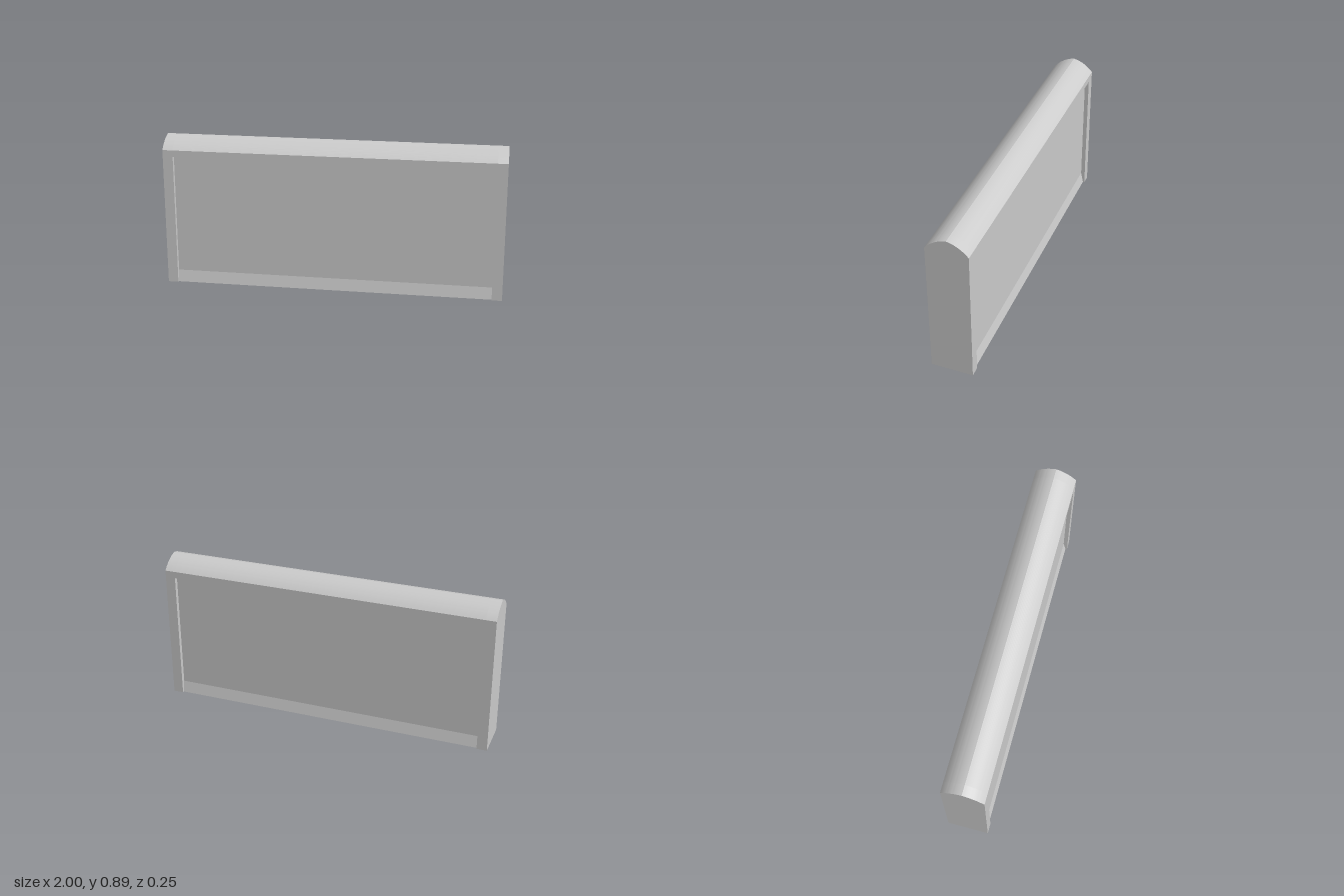
import * as THREE from 'three';
import { toCreasedNormals } from 'three/addons/utils/BufferGeometryUtils.js';

const LENGTH = 2, POST = 0.06, HALF = 0.1225;   // overall length, end post width, half thickness
const EAVES = 0.82, APEX = 0.893;               // bottom and ridge of the curved coping
const PANEL_TOP = 0.78, SLOPE_TOP = 0.07;       // recess top, top of the sloped foot
const RECESS = 0.025, FOOT_RECESS = 0.01;       // recess depth on the panel and at the ground

// Cross-section in z (shape x) and y; the side is a list of [z, y] from ground to eaves
function crossSection(side) {
  const s = new THREE.Shape();
  s.moveTo(...side[0]);
  side.slice(1).forEach(p => s.lineTo(...p));
  s.quadraticCurveTo(0.07, 0.881, 0, APEX);
  s.quadraticCurveTo(-0.07, 0.881, -HALF, EAVES);
  [...side].reverse().slice(1).forEach(([z, y]) => s.lineTo(-z, y));
  s.closePath();
  return s;
}

// Sweep a cross-section along x, centred on the given x
function sweep(name, side, length, x, material) {
  const raw = new THREE.ExtrudeGeometry(crossSection(side), {
    depth: length, bevelEnabled: false, curveSegments: 16,
  });
  raw.translate(0, 0, -length / 2);
  raw.rotateY(-Math.PI / 2);
  const mesh = new THREE.Mesh(toCreasedNormals(raw, 0.2), material);
  mesh.name = name;
  mesh.position.x = x;
  return mesh;
}

export function createModel() {
  const group = new THREE.Group();
  group.name = 'wallSegment';
  const material = new THREE.MeshStandardMaterial({ color: 0xcccccc });

  // Full-thickness end posts
  const postSide = [[HALF, 0], [HALF, EAVES]];
  const postX = (LENGTH - POST) / 2;
  group.add(sweep('leftPost', postSide, POST, postX, material));
  group.add(sweep('rightPost', postSide, POST, -postX, material));

  // Recessed panel on both faces, with sloped foot, header band and coping
  const panelSide = [
    [HALF - FOOT_RECESS, 0],
    [HALF - RECESS, SLOPE_TOP],
    [HALF - RECESS, PANEL_TOP],
    [HALF, PANEL_TOP],
    [HALF, EAVES],
  ];
  group.add(sweep('recessedPanel', panelSide, LENGTH - 2 * POST, 0, material));

  return group;
}
